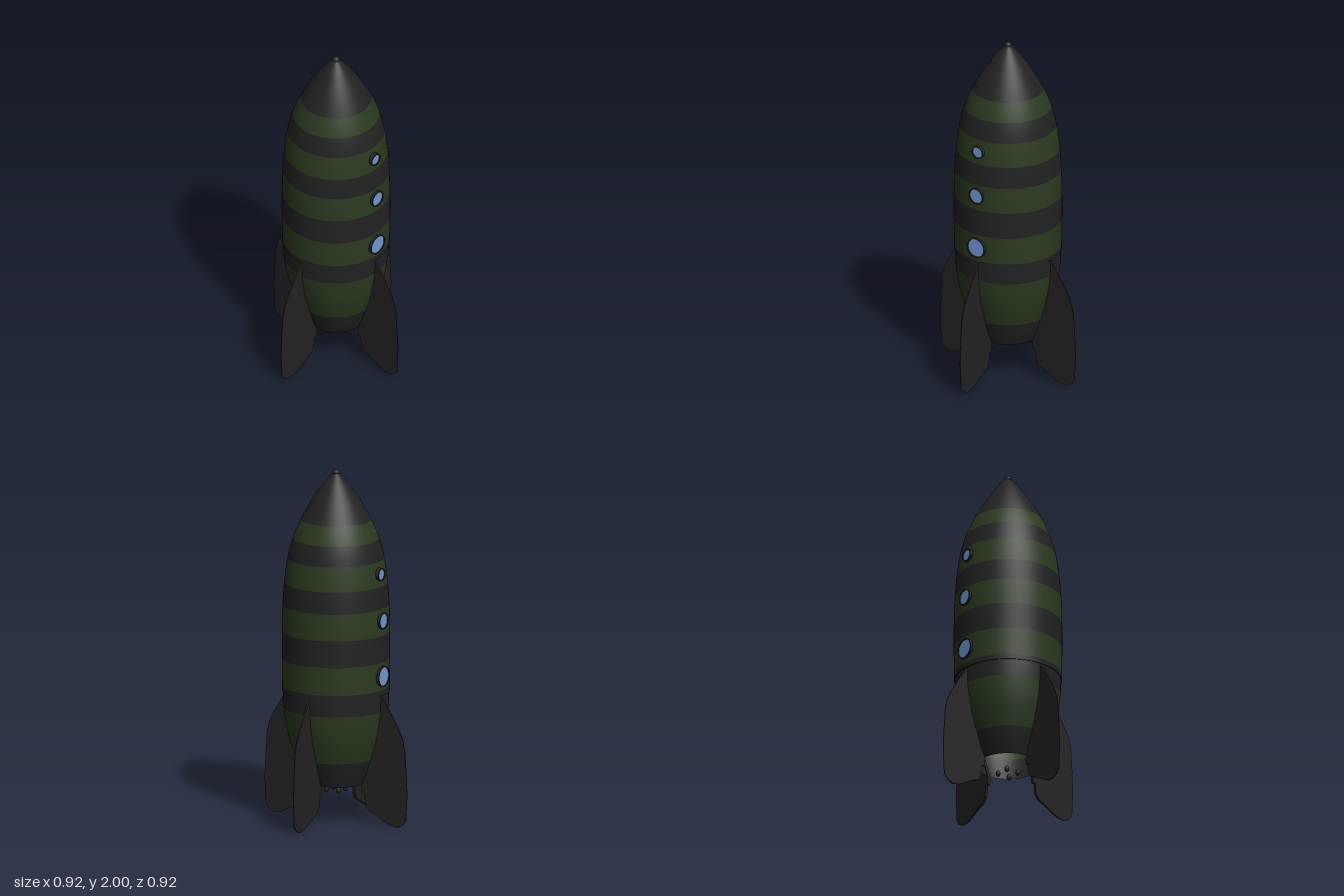
import * as THREE from 'three';

const mat = (name, color, extra = {}) => {
  const m = new THREE.MeshStandardMaterial({ color, ...extra });
  m.name = name;
  return m;
};

// Smooth hull outlines as (radius, height), sampled by height
const outline = (pts) =>
  new THREE.SplineCurve(pts.map(([r, y]) => new THREE.Vector2(r, y))).getPoints(240);
const lowerHull = outline([[0.173, 0.225], [0.2, 0.29], [0.228, 0.37], [0.267, 0.5],
  [0.288, 0.62], [0.293, 0.69], [0.294, 0.745]]);
const upperHull = outline([[0.299, 0.745], [0.301, 0.9], [0.301, 1.08], [0.298, 1.22], [0.288, 1.36],
  [0.269, 1.5], [0.24, 1.61], [0.196, 1.715], [0.138, 1.82], [0.07, 1.92], [0.02, 1.978]]);

function radiusAt(profile, y) {
  const i = Math.max(1, profile.findIndex((p) => p.y >= y - 1e-6));
  const a = profile[i - 1], b = profile[i];
  return THREE.MathUtils.lerp(a.x, b.x, THREE.MathUtils.clamp((y - a.y) / (b.y - a.y), 0, 1));
}

export function createModel() {
  const rocket = new THREE.Group();
  rocket.name = 'rocket';
  const side = THREE.DoubleSide;
  const black = mat('charcoal', 0x222222, { side });
  const green = mat('darkGreen', 0x2b3a20, { side });
  const blue = mat('glassBlue', 0x7399d4);

  const add = (parent, name, geometry, material, x = 0, y = 0, z = 0) => {
    const mesh = new THREE.Mesh(geometry, material);
    mesh.name = name;
    mesh.position.set(x, y, z);
    parent.add(mesh);
    return mesh;
  };

  // Striped open hull, one lathe per band
  const band = (profile, y0, y1, material) => {
    const pts = [];
    for (let i = 0; i <= 8; i++) {
      const y = THREE.MathUtils.lerp(y0, y1, i / 8);
      pts.push(new THREE.Vector2(radiusAt(profile, y), y));
    }
    add(rocket, 'hullBand', new THREE.LatheGeometry(pts, 64), material);
  };
  band(lowerHull, 0.225, 0.37, black);
  band(lowerHull, 0.37, 0.65, green);
  band(lowerHull, 0.65, 0.745, black);
  const edges = [0.745, 0.775, 0.933, 1.085, 1.235, 1.36, 1.498, 1.61, 1.715, 1.978];
  for (let i = 0; i < edges.length - 1; i++) {
    band(upperHull, edges[i], edges[i + 1], i % 2 ? green : black);
  }
  // Small lip where the upper hull overlaps the lower one
  const lip = add(rocket, 'hullLip', new THREE.RingGeometry(0.293, 0.299, 64), black, 0, 0.745, 0);
  lip.rotation.x = Math.PI / 2;

  // Nose cap
  add(rocket, 'noseTip', new THREE.SphereGeometry(0.022, 16, 12), black, 0, 1.978, 0);

  // Fin outline, thinning toward its outer edge
  const finShape = new THREE.Shape([[0.285, 0.745], [0.298, 0.735], [0.355, 0.65], [0.412, 0.555],
    [0.432, 0.51], [0.446, 0.45], [0.455, 0.32], [0.461, 0.2], [0.453, 0.05], [0.435, 0.025], [0.4, 0.005],
    [0.35, 0.012], [0.305, 0.035], [0.258, 0.062], [0.215, 0.08], [0.195, 0.11], [0.187, 0.172],
    [0.17, 0.175], [0.168, 0.225], [0.222, 0.37], [0.262, 0.5], [0.284, 0.63]]
    .map(([x, y]) => new THREE.Vector2(x, y)));
  const finGeometry = new THREE.ExtrudeGeometry(finShape, { depth: 1, bevelEnabled: false });
  const p = finGeometry.attributes.position;
  for (let i = 0; i < p.count; i++) {
    const half = THREE.MathUtils.mapLinear(p.getX(i), 0.17, 0.461, 0.009, 0.002);
    p.setZ(i, (p.getZ(i) * 2 - 1) * half);
  }
  finGeometry.computeVertexNormals();

  // Four fins, with four small exhaust nubs between them
  for (let i = 0; i < 4; i++) {
    const a = (i * Math.PI) / 2;
    add(rocket, 'fin', finGeometry, black).rotation.y = a;
    const d = a + Math.PI / 4;
    const nub = add(rocket, 'exhaustNub', new THREE.SphereGeometry(0.016, 12, 8), black,
      Math.cos(d) * 0.055, 0.183, Math.sin(d) * 0.055);
    nub.scale.set(0.85, 1.2, 0.85);
  }

  // Portholes on the front and back: height, outer radius, rim face distance
  for (const turn of [0, Math.PI]) {
    const row = new THREE.Group();
    row.name = turn ? 'backPortholes' : 'frontPortholes';
    row.rotation.y = turn;
    rocket.add(row);
    for (const [y, r, z] of [[0.855, 0.059, 0.313], [1.17, 0.047, 0.312], [1.432, 0.037, 0.298]]) {
      const inner = r - 0.006;
      const rimShape = new THREE.Shape().absarc(0, 0, r, 0, Math.PI * 2);
      rimShape.holes.push(new THREE.Path().absarc(0, 0, inner, 0, Math.PI * 2, true));
      add(row, 'portholeRim', new THREE.ExtrudeGeometry(rimShape,
        { depth: 0.04, bevelEnabled: false, curveSegments: 32 }), black, 0, y, z - 0.04);
      add(row, 'portholeGlass', new THREE.CircleGeometry(inner, 32), blue, 0, y, z - 0.006);
    }
  }
  return rocket;
}
